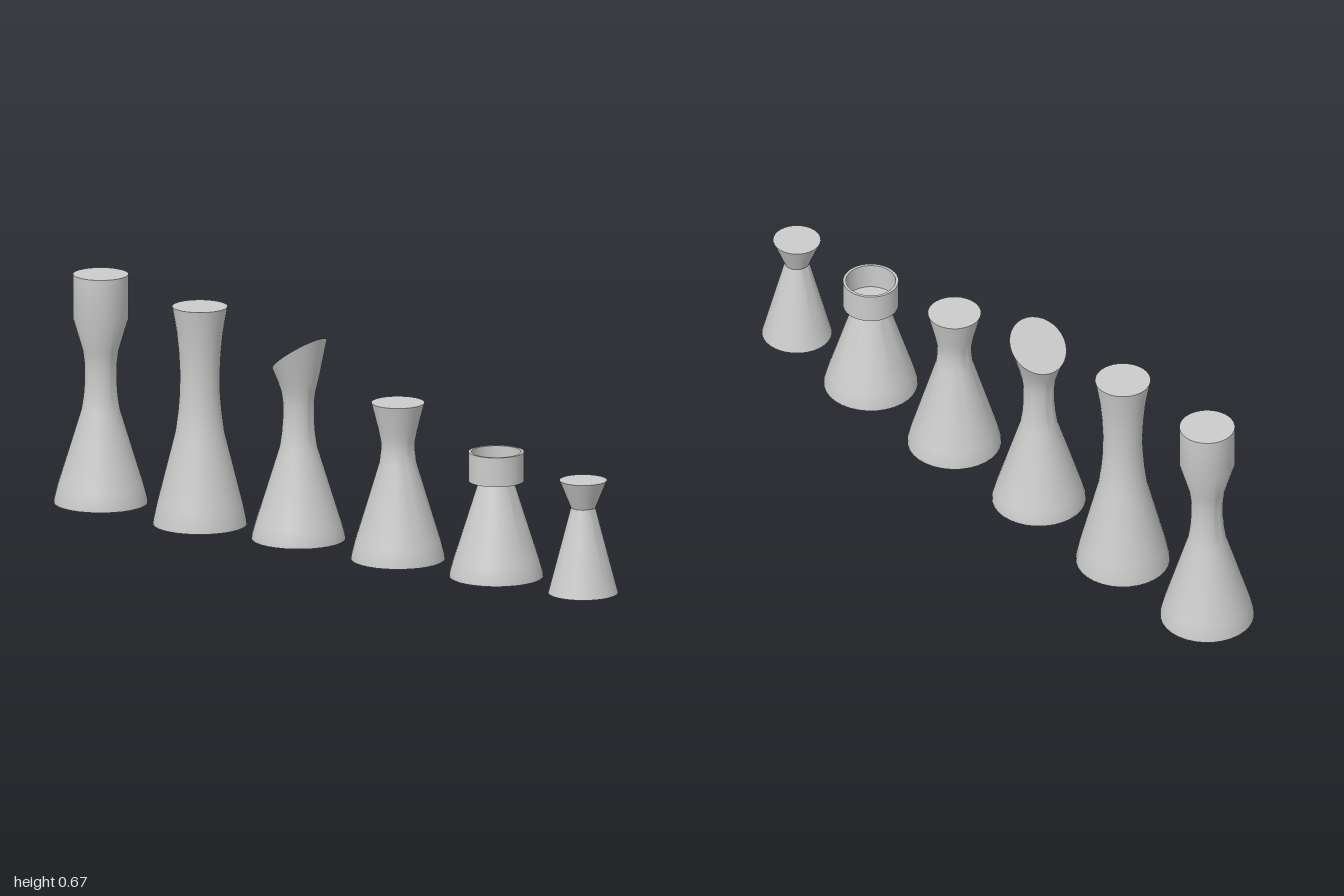
import * as THREE from 'three';
import { toCreasedNormals } from 'three/addons/utils/BufferGeometryUtils.js';

const material = new THREE.MeshStandardMaterial({ color: 0xcccccc });

// Turned piece from [radius, height] pairs, closed on the axis at both ends
function turn(profile) {
  const pts = [[0, profile[0][1]], ...profile, [0, profile.at(-1)[1]]];
  return new THREE.LatheGeometry(pts.map(([r, y]) => new THREE.Vector2(r, y)), 32);
}

// Wide foot shared by the larger pieces
const foot = (y) => [[0.134, y], [0.133, y + 0.012], [0.123, 0.06]];

// Cut the bishop's head on a slant and widen it sideways towards the top
function slantHead(geometry) {
  const p = geometry.attributes.position;
  for (let i = 0; i < p.count; i++) {
    const t = Math.max(0, (p.getY(i) - 0.45) / 0.098);
    const z = p.getZ(i) + 0.004 * t;
    p.setXYZ(i, p.getX(i) * (1 + 0.24 * t), p.getY(i) + 0.75 * z * t, z);
  }
  return geometry;
}

export function createModel() {
  const group = new THREE.Group();
  const add = (name, z, geometry) => {
    const mesh = new THREE.Mesh(toCreasedNormals(geometry, 0.5), material);
    mesh.name = name;
    mesh.position.z = z;
    group.add(mesh);
  };

  add('pawn', 0.9, turn([[0.1, 0.012], [0.09, 0.05], [0.035, 0.26], [0.068, 0.34]]));

  // Hollow cup on a plain cone
  add('rook', 0.582, turn([...foot(0.012), [0.05, 0.29], [0.079, 0.29], [0.079, 0.375],
    [0.071, 0.375], [0.071, 0.3]]));

  add('knight', 0.222, turn([...foot(0.008), [0.053, 0.29], [0.049, 0.325], [0.049, 0.35],
    [0.056, 0.385], [0.076, 0.464]]));

  add('bishop', -0.142, slantHead(turn([...foot(0.012), [0.054, 0.28], [0.048, 0.32], [0.045, 0.36],
    [0.045, 0.41], [0.049, 0.44], [0.057, 0.475], [0.065, 0.515], [0.071, 0.548]])));

  add('queen', -0.503, turn([...foot(0), [0.07, 0.27], [0.062, 0.33], [0.058, 0.38],
    [0.057, 0.44], [0.06, 0.5], [0.066, 0.56], [0.079, 0.635]]));

  add('king', -0.866, turn([...foot(0.008), [0.055, 0.28], [0.049, 0.32], [0.046, 0.36],
    [0.046, 0.41], [0.051, 0.45], [0.079, 0.545], [0.079, 0.674]]));

  return group;
}
